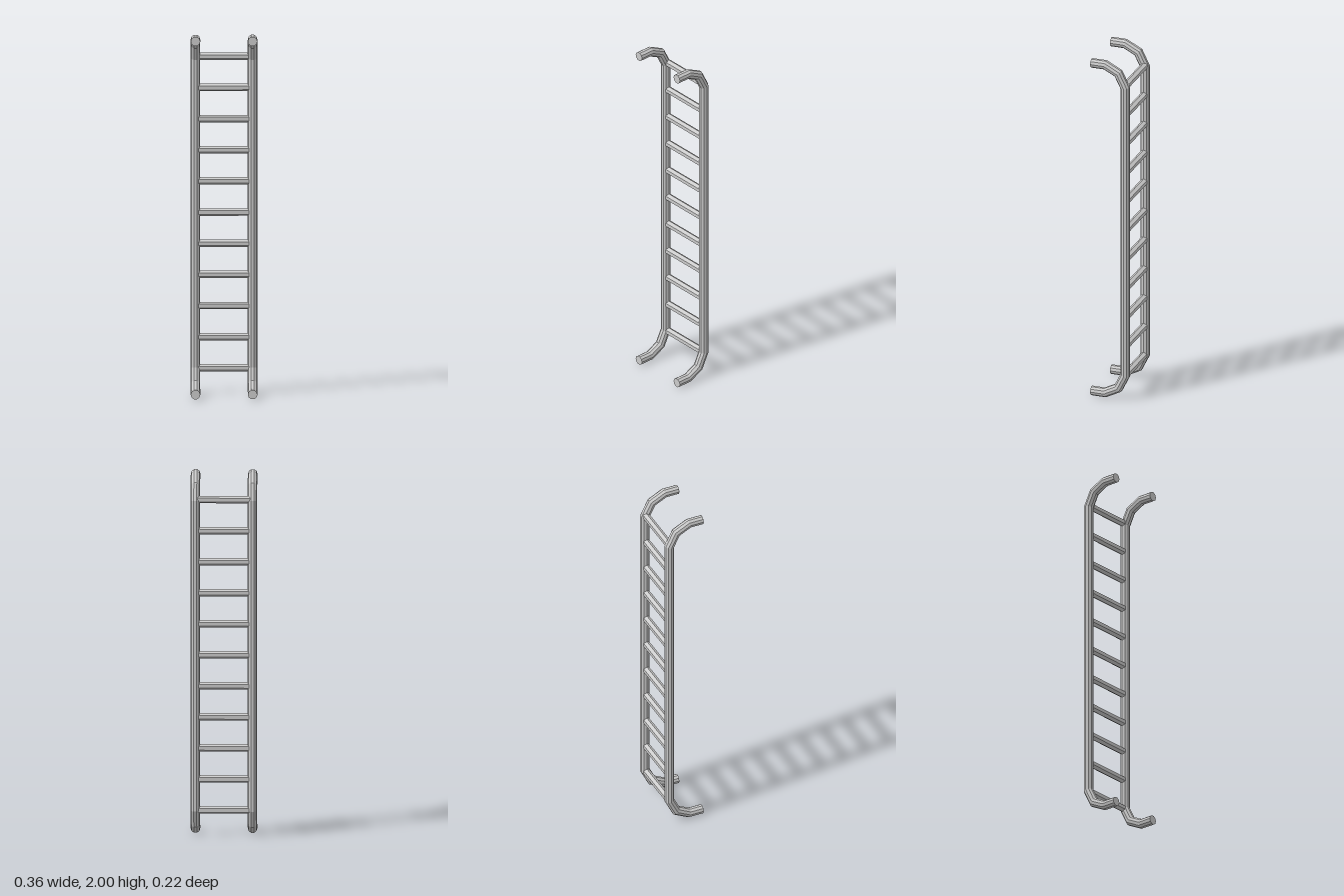
import * as THREE from 'three';

const SIDES = 10, RAIL_R = 0.0263, RAIL_X = 0.156, RAIL_Z = -0.086;

// Mitred sweep of a polygon along a path of [z, y] points in the x = 0 plane
function sweep(path, radius, sides) {
  const pts = path.map(([z, y]) => new THREE.Vector2(z, y));
  const last = pts.length - 1;
  const pos = [], idx = [];
  pts.forEach((p, i) => {
    const a = pts[Math.min(i, last - 1) + 1].clone().sub(pts[Math.min(i, last - 1)]).normalize();
    const b = i === 0 ? a : p.clone().sub(pts[i - 1]).normalize();
    const t = a.clone().add(b).normalize();
    const miter = radius / t.dot(a);
    for (let k = 0; k < sides; k++) {
      const ang = (k / sides) * Math.PI * 2;
      const s = Math.sin(ang) * miter;
      pos.push(Math.cos(ang) * radius, p.y + t.x * s, p.x - t.y * s);
    }
  });
  const startCap = pos.length / 3, endCap = startCap + 1;
  pos.push(0, pts[0].y, pts[0].x, 0, pts[last].y, pts[last].x);
  for (let k = 0; k < sides; k++) {
    const n = (k + 1) % sides;
    for (let i = 0; i < last; i++) {
      const r = i * sides, q = r + sides;
      idx.push(r + k, r + n, q + n, r + k, q + n, q + k);
    }
    idx.push(startCap, n, k, endCap, last * sides + k, last * sides + n);
  }
  const geo = new THREE.BufferGeometry();
  geo.setAttribute('position', new THREE.Float32BufferAttribute(pos, 3));
  geo.setIndex(idx);
  const flat = geo.toNonIndexed();
  flat.computeVertexNormals();
  return flat;
}

export function createModel() {
  const group = new THREE.Group();
  const metal = new THREE.MeshStandardMaterial({ color: 0xcccccc, flatShading: true });

  // Side rails, bent forward to the wall at both ends
  const lower = [[0.11, 0.025], [0.03, 0.025], [-0.046, 0.064], [RAIL_Z, 0.145]];
  const upper = lower.map(([z, y]) => [z, 2 - y]).reverse();
  const railGeo = sweep([...lower, ...upper], RAIL_R, SIDES);
  for (const [name, side] of [['leftRail', 1], ['rightRail', -1]]) {
    const rail = new THREE.Mesh(railGeo, metal);
    rail.name = name;
    rail.position.x = side * RAIL_X;
    group.add(rail);
  }

  // Hexagonal rungs with an edge on top
  const rungGeo = new THREE.CylinderGeometry(0.0205, 0.0205, 0.29, 6);
  rungGeo.rotateX(0).rotateY(Math.PI / 2).rotateZ(Math.PI / 2);
  const rungs = new THREE.Group();
  rungs.name = 'rungs';
  for (let i = 0; i < 11; i++) {
    const rung = new THREE.Mesh(rungGeo, metal);
    rung.name = 'rung' + (i + 1);
    rung.position.set(0, 0.145 + i * 0.172, RAIL_Z);
    rungs.add(rung);
  }
  group.add(rungs);
  return group;
}
